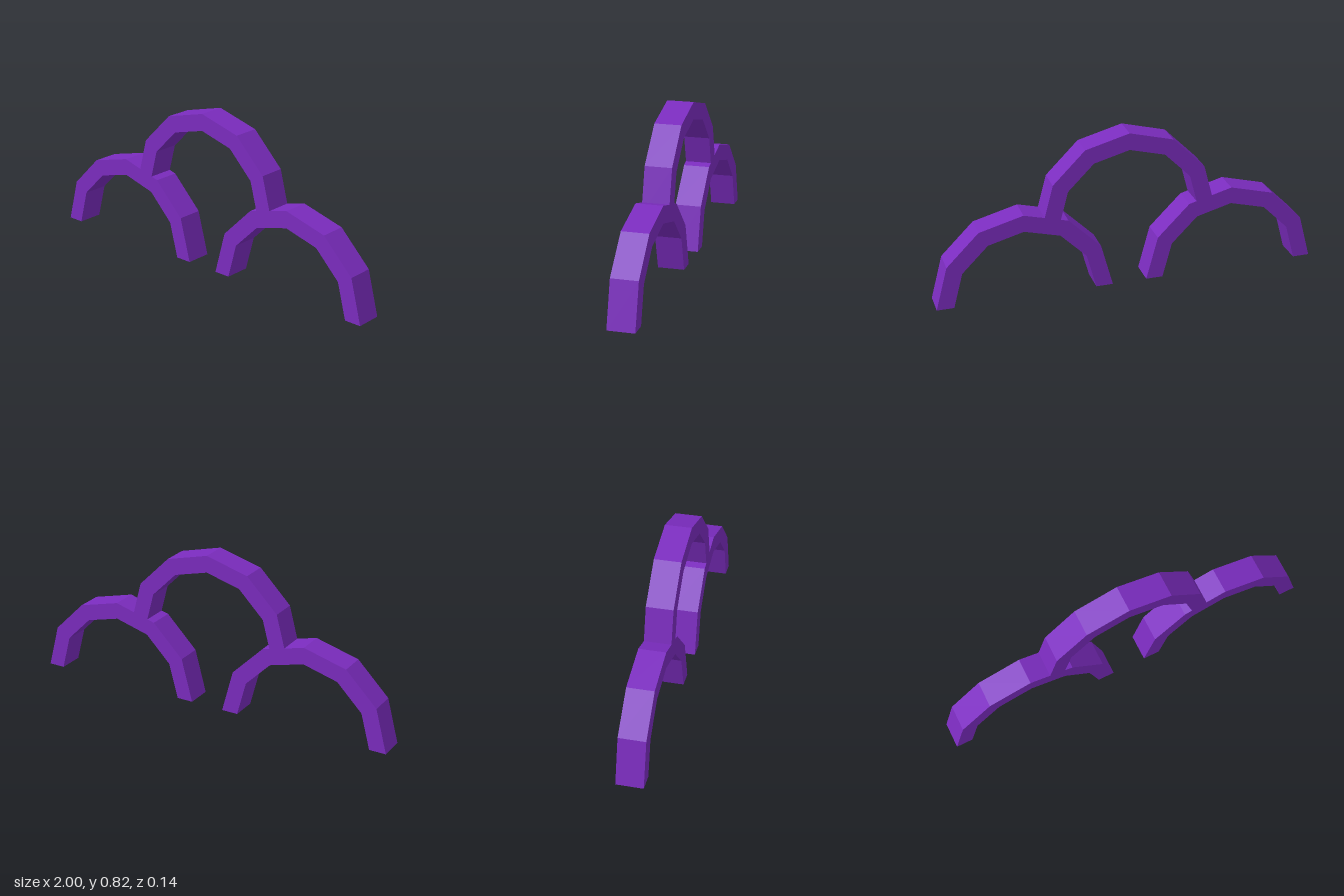
import * as THREE from 'three';

const OUTER = 0.455, INNER = 0.367, DEPTH = 0.136, SEGMENTS = 6;

// Half-ring of straight segments, extruded and centred on z = 0
function archGeometry() {
  const ring = (radius) => Array.from({ length: SEGMENTS + 1 }, (_, i) => {
    const a = (i / SEGMENTS) * Math.PI;
    return new THREE.Vector2(Math.cos(a) * radius, Math.sin(a) * radius);
  });
  const shape = new THREE.Shape([...ring(OUTER), ...ring(INNER).reverse()]);
  const geometry = new THREE.ExtrudeGeometry(shape, { depth: DEPTH, bevelEnabled: false });
  return geometry.translate(0, 0, -DEPTH / 2);
}

export function createModel() {
  const group = new THREE.Group();
  group.name = 'stackedArches';
  const material = new THREE.MeshStandardMaterial({ color: 0x7b2cbf, flatShading: true });
  const geometry = archGeometry();

  // Two arches on the ground, one standing on their shoulders
  const arches = [
    ['leftArch', 1 - OUTER, 0],
    ['rightArch', OUTER - 1, 0],
    ['topArch', 0, INNER],
  ];
  for (const [name, x, y] of arches) {
    const arch = new THREE.Mesh(geometry, material);
    arch.name = name;
    arch.position.set(x, y, 0);
    group.add(arch);
  }
  return group;
}
